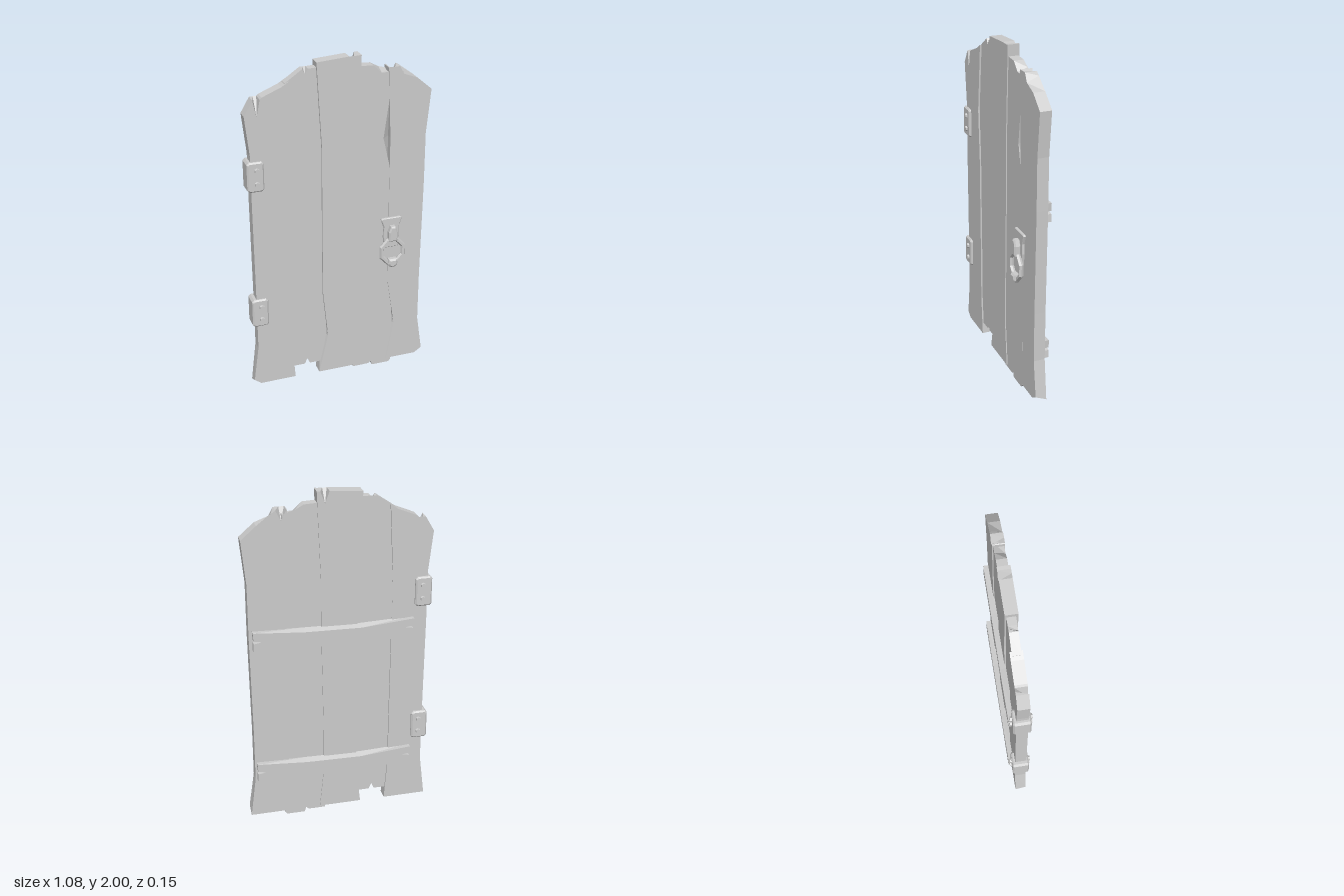
import * as THREE from 'three';

const material = new THREE.MeshStandardMaterial({ color: 0xcccccc, flatShading: true });

function addMesh(parent, name, geometry, x = 0, y = 0, z = 0) {
  const mesh = new THREE.Mesh(geometry, material);
  mesh.name = name;
  mesh.position.set(x, y, z);
  parent.add(mesh);
}

// Chipped board: counter-clockwise outline of [x, y, frontDx, frontDy, backDx, backDy]
function boardGeometry(outline, back, front) {
  const f = outline.map(([x, y, dx = 0, dy = 0]) => new THREE.Vector2(x + dx, y + dy));
  const b = outline.map(([x, y, , , dx = 0, dy = 0]) => new THREE.Vector2(x + dx, y + dy));
  const pos = [];
  const put = (p, z) => pos.push(p.x, p.y, z);
  for (const [i, j, k] of THREE.ShapeUtils.triangulateShape(f, [])) {
    put(f[i], front); put(f[j], front); put(f[k], front);
  }
  for (const [i, j, k] of THREE.ShapeUtils.triangulateShape(b, [])) {
    put(b[i], back); put(b[k], back); put(b[j], back);
  }
  for (let i = 0; i < f.length; i++) {
    const j = (i + 1) % f.length;
    put(b[i], back); put(b[j], back); put(f[j], front);
    put(b[i], back); put(f[j], front); put(f[i], front);
  }
  const geometry = new THREE.BufferGeometry();
  geometry.setAttribute('position', new THREE.Float32BufferAttribute(pos, 3));
  geometry.computeVertexNormals();
  return geometry;
}

// V-shaped notch in a board end, cut to its own depth on the front and the back
const notch = (x, y, half, front, back) =>
  [[x + half, y], [x, y, 0, -front, 0, -back], [x - half, y]];

// Seams between planks: x at the foot, waist, shoulder and top
const seams = [
  [-0.54, -0.51, -0.515, -0.54],
  [-0.285, -0.305, -0.31, -0.29],
  [-0.135, -0.108, -0.108, -0.135],
  [0.115, 0.09, 0.1, 0.12],
  [0.3, 0.3, 0.297, 0.28],
  [0.535, 0.503, 0.512, 0.537],
];

// One long plank edge from foot to top; outer feet and marked spots are chipped on the front
function plankEdge(seam, lap, foot, top, waistChip = 0, shoulderChip = 0) {
  const [a, b, c, d] = seams[seam].map((x) => x + lap);
  const footChip = seam % 5 === 0 ? 0.03 : 0;
  return [
    [a, foot, 0, footChip], [b, 0.28, waistChip], [b, 0.58],
    [c, 1.2], [c, 1.5, shoulderChip], [d, top],
  ];
}

// Ends run left to right along the foot and right to left along the top
const planks = [
  { back: -0.046, front: 0.02, foot: 0.03, left: 1.73, right: 1.895, shoulderChip: -0.018,
    footEnd: [[-0.5, 0.03]],
    topEnd: [[-0.33, 1.87], [-0.44, 1.825], ...notch(-0.47, 1.815, 0.02, 0.1, 0)] },
  { back: -0.037, front: 0.011, foot: 0.1, left: 1.885, right: 1.955, lap: 0.02,
    footEnd: notch(-0.207, 0.1, -0.016, -0.035, -0.035),
    topEnd: notch(-0.195, 1.952, 0.017, 0.03, 0) },
  { back: -0.046, front: 0.023, foot: 0.03, left: 1.985, right: 2, waistChip: 0.03,
    footEnd: [],
    topEnd: notch(0.075, 1.998, 0.025, 0, 0.07) },
  { back: -0.04, front: 0.017, foot: 0.015, left: 1.937, right: 1.885, lap: 0.03, shoulderChip: -0.07,
    footEnd: [[0.185, 0.015], [0.2, 0.03], [0.21, 0], [0.318, 0]],
    topEnd: [[0.24, 1.905, 0, -0.02], [0.19, 1.932]] },
  { back: -0.046, front: 0.021, foot: 0.03, left: 1.91, right: 1.76, waistChip: 0.045,
    footEnd: [[0.49, 0.03]],
    topEnd: [[0.45, 1.835], [0.37, 1.895, 0, -0.03], ...notch(0.315, 1.912, 0.03, 0, 0.06)] },
];

function plankGeometry(plank, i) {
  const { foot, left, right, lap = 0, waistChip, shoulderChip } = plank;
  const leftEdge = plankEdge(i, -lap, foot, left, waistChip).reverse();
  const rightEdge = plankEdge(i + 1, lap, foot, right, 0, shoulderChip);
  const outline = [...plank.footEnd, ...rightEdge, ...plank.topEnd, ...leftEdge];
  return boardGeometry(outline, plank.back, plank.front);
}

// Cross batten at the back, split at both ends and chipped along its upper edge
const batten = [
  [-0.435, -0.055], [-0.1, -0.05], [0.1, -0.06], [0.493, -0.05],
  [0.49, -0.005], [0.44, 0.002], [0.49, 0.012],
  [0.493, 0.06], [0.2, 0.052, 0, 0, 0, -0.015], [-0.13, 0.045, 0, 0, 0, -0.015], [-0.435, 0.055],
  [-0.43, 0.012], [-0.385, 0.005], [-0.43, -0.004],
];

// Symmetric outline, given by its right half from bottom to top, extruded with a small chamfer
function chamfered(half, depth, bevel) {
  const right = half.map(([x, y]) => new THREE.Vector2(x, y));
  const left = half.map(([x, y]) => new THREE.Vector2(-x, y)).reverse();
  return new THREE.ExtrudeGeometry(new THREE.Shape([...right, ...left]), {
    depth: depth - 2 * bevel, bevelEnabled: true, bevelSegments: 1,
    bevelSize: bevel, bevelOffset: -bevel, bevelThickness: bevel,
  }).translate(0, 0, bevel);
}

// Hinge block wrapped round the door edge, bolted on both faces
function createHinge() {
  const hinge = new THREE.Group();
  const body = chamfered([[0.036, -0.088], [0.048, -0.076], [0.048, 0.076], [0.036, 0.088]], 0.098, 0.008);
  addMesh(hinge, 'hingeBody', body, 0, 0, -0.064);
  for (const y of [-0.04, 0.04]) {
    for (const side of [1, -1]) {
      const bolt = new THREE.CylinderGeometry(0.013, 0.019, 0.022, 6).rotateX(side * Math.PI / 2);
      addMesh(hinge, 'hingeBolt', bolt, 0.007, y, side > 0 ? 0.034 : -0.064);
    }
  }
  return hinge;
}

function createHandle() {
  const handle = new THREE.Group();
  handle.name = 'handle';
  addMesh(handle, 'handlePlate', chamfered(
    [[0.04, -0.19], [0.05, -0.12], [0.046, -0.06], [0.064, -0.008], [0.055, 0]], 0.018, 0.004), 0, 1.005, 0.017);
  // Peg that holds the ring
  addMesh(handle, 'handlePeg', chamfered(
    [[0.027, 0], [0.027, 0.06], [0.014, 0.095]], 0.04, 0.008), 0, 0.865, 0.03);
  // Eight-sided pull ring with a grip at the bottom
  const ring = new THREE.TorusGeometry(0.071, 0.014, 6, 8).rotateZ(Math.PI / 8).scale(1, 1.1, 1);
  addMesh(handle, 'handleRing', ring, 0, 0.797, 0.05);
  addMesh(handle, 'handleGrip', chamfered(
    [[0.018, 0], [0.03, 0.02], [0.026, 0.052]], 0.044, 0.01), 0, 0.698, 0.031);
  handle.position.x = 0.312;
  return handle;
}

export function createModel() {
  const door = new THREE.Group();
  door.name = 'plankDoor';

  planks.forEach((plank, i) => addMesh(door, `plank${i + 1}`, plankGeometry(plank, i)));

  const battenGeometry = boardGeometry(batten, -0.075, -0.04);
  addMesh(door, 'lowerBatten', battenGeometry, 0, 0.33);
  addMesh(door, 'upperBatten', battenGeometry, 0, 1.17);

  for (const [name, y] of [['lowerHinge', 0.522], ['upperHinge', 1.378]]) {
    const hinge = createHinge();
    hinge.name = name;
    hinge.position.set(-0.49, y, 0);
    door.add(hinge);
  }

  door.add(createHandle());
  return door;
}
